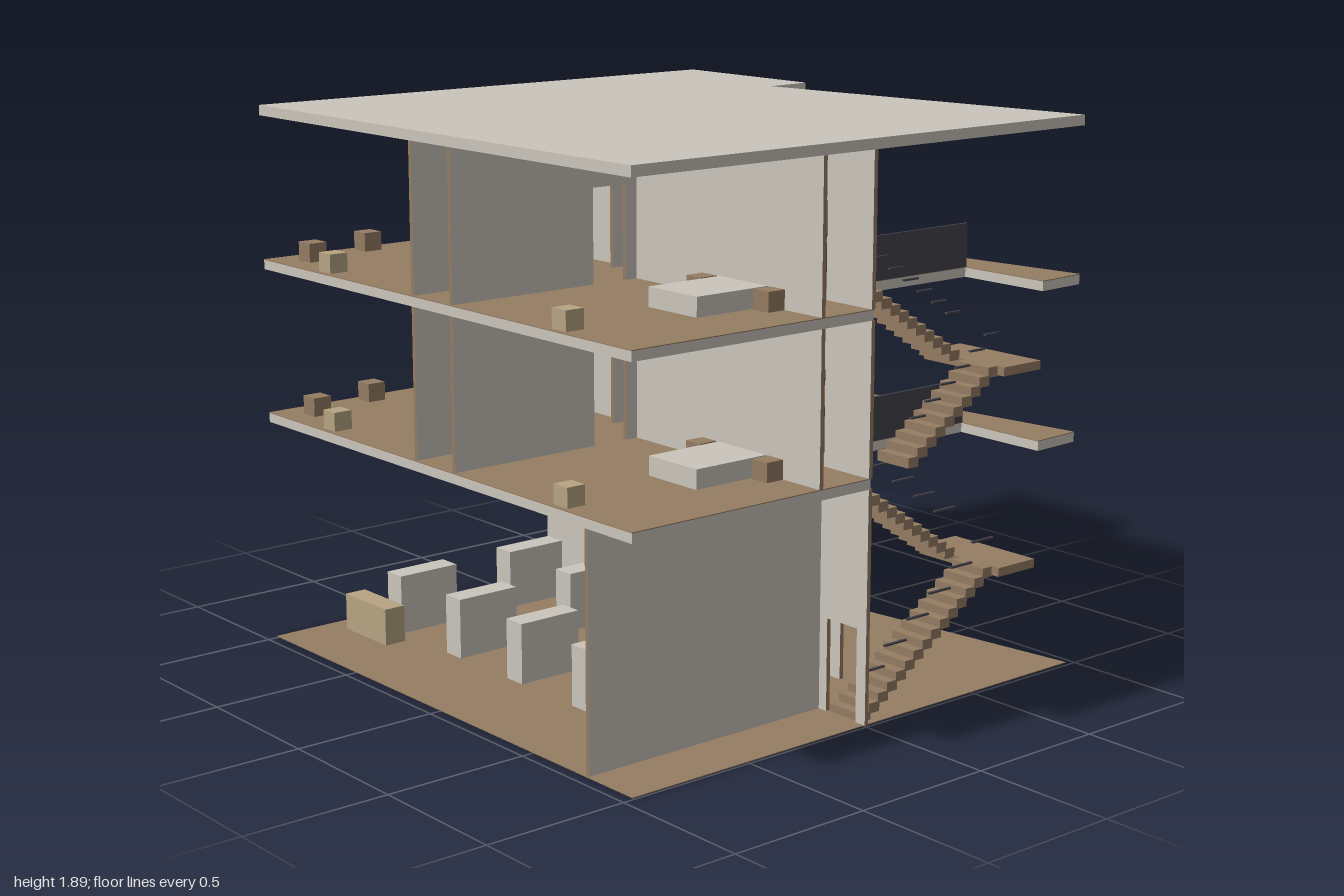
import * as THREE from 'three';

const mat = (name, color, side = THREE.FrontSide) => {
  const m = new THREE.MeshStandardMaterial({ color, side });
  m.name = name;
  return m;
};

export function createModel() {
  const plaster = mat('plaster', 0xcbc6bc);
  const wood = mat('wood', 0x957d63);
  const tan = mat('tan', 0xb7a483);
  const dark = mat('dark', 0x45434a);

  const root = new THREE.Group();
  root.name = 'building';
  const group = (name, parent = root) => {
    const g = new THREE.Group();
    g.name = name;
    parent.add(g);
    return g;
  };
  const add = (parent, name, geo, material) => {
    const m = new THREE.Mesh(geo, material);
    m.name = name;
    parent.add(m);
    return m;
  };
  // Box given by its limits on each axis
  const box = (parent, name, material, x0, x1, y0, y1, z0, z1) => {
    const m = add(parent, name, new THREE.BoxGeometry(x1 - x0, y1 - y0, z1 - z0), material);
    m.position.set((x0 + x1) / 2, (y0 + y1) / 2, (z0 + z1) / 2);
    return m;
  };

  // Horizontal plate from an [x, z] outline
  const plate = (parent, name, material, outline, y0, y1) => {
    const shape = new THREE.Shape(outline.map(([x, z]) => new THREE.Vector2(x, -z)));
    const geo = new THREE.ExtrudeGeometry(shape, { depth: y1 - y0, bevelEnabled: false });
    geo.rotateX(-Math.PI / 2).translate(0, y0, 0);
    return add(parent, name, geo, material);
  };

  // Thin wall with door notches; wood shows on its cut edges
  const T = 0.015, DOOR = 0.317;
  const wall = (parent, name, axis, at, from, to, y0, y1, doors = []) => {
    const s = new THREE.Shape();
    s.moveTo(from, y0);
    for (const [a, b] of doors) {
      s.lineTo(a, y0);
      s.lineTo(a, y0 + DOOR);
      s.lineTo(b, y0 + DOOR);
      s.lineTo(b, y0);
    }
    s.lineTo(to, y0);
    s.lineTo(to, y1);
    s.lineTo(from, y1);
    s.closePath();
    const geo = new THREE.ExtrudeGeometry(s, { depth: T, bevelEnabled: false });
    geo.translate(0, 0, -T / 2);
    if (axis === 'z') geo.rotateY(-Math.PI / 2);
    const m = add(parent, name, geo, [plaster, wood]);
    if (axis === 'z') m.position.x = at;
    else m.position.z = at;
  };

  // Floor outlines: full, and with the stairwell cut from the right edge
  const back = [[0.99, -0.965], [-0.34, -0.78], [-0.355, -0.965], [-1, -0.97]];
  const full = [[-1, 0.965], [1, 0.965], ...back];
  const cut = [[-1, 0.965], [1, 0.965], [1, 0], [0.65, 0], [0.65, -0.775], [1, -0.775], ...back];

  plate(root, 'groundFloor', wood, full, 0.001, 0.004);
  const levels = [0.82, 1.36];
  for (const y of levels) {
    plate(root, 'floorSlab', plaster, cut, y - 0.035, y - 0.003);
    plate(root, 'floorCovering', wood, cut, y - 0.003, y);
  }
  plate(root, 'roof', plaster, full, 1.855, 1.89);

  // Ground floor walls
  const hall = group('groundHall');
  wall(hall, 'backWall', 'x', -0.25, -1, 0.622, 0.002, 0.785, [[-0.58, -0.445]]);
  wall(hall, 'sideWall', 'z', 0.778, 0.0075, 0.96, 0.002, 0.785);
  wall(hall, 'stairWall', 'x', 0, 0.635, 1, 0.002, 0.785, [[0.82, 0.957]]);

  // Ground floor furniture
  for (const x of [-0.82, -0.46, -0.107, 0.25])
    for (const z of [-0.11, 0.37])
      box(hall, 'cabinet', plaster, x, x + 0.084, 0, 0.215, z, z + 0.24);
  box(hall, 'counter', tan, -0.91, -0.66, 0, 0.135, 0.65, 0.73);
  box(root, 'tanBin', tan, -0.785, -0.72, 0, 0.065, -0.735, -0.67);
  box(root, 'darkBin', dark, -0.925, -0.86, 0, 0.065, -0.74, -0.66);

  // Bed with a nightstand at each side, head at z0
  const bedSet = (parent, x, z) => {
    box(parent, 'bed', plaster, x - 0.115, x + 0.115, parent.userData.y, parent.userData.y + 0.065, z, z + 0.29);
    for (const s of [-1, 1]) cube(parent, 'nightstand', wood, x + s * 0.16, z + 0.035);
  };
  const cube = (parent, name, material, x, z) => {
    const y = parent.userData.y;
    box(parent, name, material, x - 0.034, x + 0.034, y, y + 0.065, z - 0.034, z + 0.034);
  };

  // Upper floors
  levels.forEach((y, i) => {
    const g = group('upperFloor' + (i + 1));
    g.userData.y = y;
    const top = y + (i ? 0.495 : 0.505);
    wall(g, 'leftCorridorWall', 'z', -0.107, -0.775, 0.96, y, top, [[-0.725, -0.585], [0.15, 0.285]]);
    wall(g, 'rightCorridorWall', 'z', 0.103, 0.212, 0.96, y, top, [[0.265, 0.4]]);
    wall(g, 'leftRoomDivider', 'x', 0.09, -1, -0.1145, y, top);
    wall(g, 'rightRoomWall', 'x', 0.212, 0.1105, 1, y, top);
    wall(g, 'stairWall', 'x', 0, 0.635, 1, y, top, [[0.66, 0.795]]);
    box(g, 'stairwellRailing', dark, 0.645, 0.655, y, y + 0.15, -0.775, -0.008);

    bedSet(g, 0.64, 0.22);
    bedSet(g, -0.64, 0.1);
    bedSet(g, -0.64, -0.775);
    cube(g, 'chest', tan, 0.64, 0.915);
    cube(g, 'chest', tan, -0.64, 0.915);
    cube(g, 'chest', tan, -0.64, 0.046);
    cube(g, 'stool', wood, -0.94, 0.58);
    cube(g, 'chair', wood, -0.87, 0.85);
    cube(g, 'chair', wood, -0.87, -0.055);
  });

  // Stairs: two opposed flights joined by a landing, with stepped handrails
  const stairs = (name, y0, yMid, y1, zNear, steps) => {
    const g = group(name);
    const zFar = -0.6, run = (zNear - zFar) / steps;
    const flight = (x0, x1, railX, from, to, up) => {
      const rise = (to - from) / steps;
      for (let i = 0; i < steps; i++) {
        const z = up ? zNear - (i + 1) * run : zFar + i * run;
        const y = from + (i + 1) * rise;
        box(g, 'step', wood, x0, x1, y - 0.034, y, z - 0.003, z + run + 0.003);
      }
      const len = (zNear - zFar) / 6;
      for (let i = 0; i < 6; i++) {
        const z = up ? zNear - (i + 1) * len : zFar + i * len;
        const y = from + ((i + 0.5) / 6) * (to - from) + 0.135;
        box(g, 'handrail', dark, railX - 0.005, railX + 0.005, y - 0.003, y + 0.003, z, z + len);
      }
    };
    flight(0.83, 0.97, 0.97, y0, yMid, true);
    flight(0.655, 0.795, 0.795, yMid, y1, false);
    box(g, 'landing', wood, 0.635, 1, yMid - 0.03, yMid, -0.775, zFar);
  };
  stairs('lowerStairs', 0.004, 0.412, 0.82, -0.004, 15);
  stairs('upperStairs', 0.82, 1.093, 1.36, -0.2, 10);

  return root;
}
